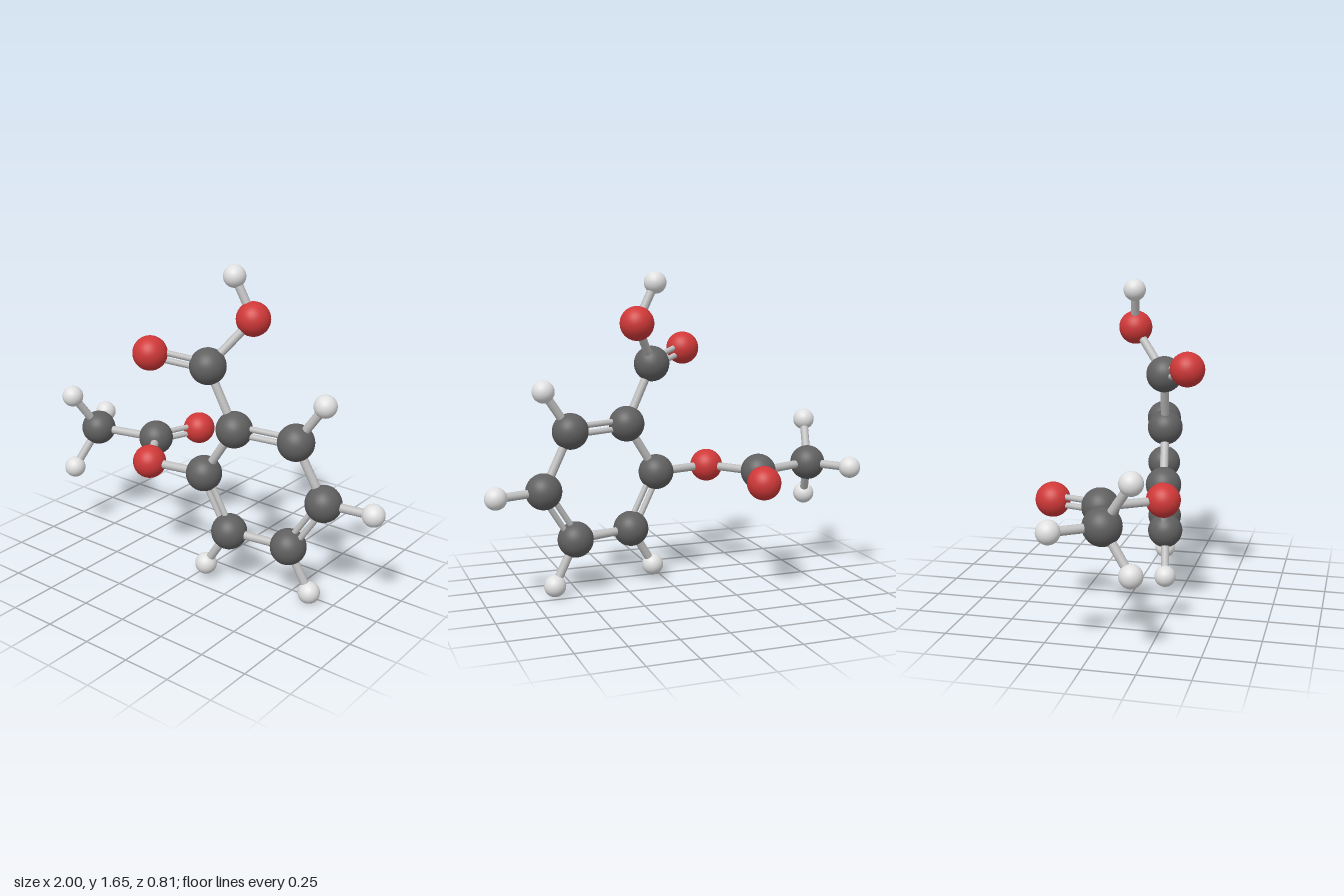
import * as THREE from 'three';

const mat = (name, color) => {
  const m = new THREE.MeshStandardMaterial({ color });
  m.name = name;
  return m;
};

export function createModel() {
  const group = new THREE.Group();
  const bondMat = mat('bond grey', 0xc0c0c0);

  // Radius and colour of each kind of atom
  const sphere = (r) => new THREE.SphereGeometry(r, 32, 20);
  const kinds = {
    carbon: { geo: sphere(0.093), mat: mat('carbon grey', 0x606060) },
    oxygen: { geo: sphere(0.087), mat: mat('oxygen red', 0xd03838) },
    hydrogen: { geo: sphere(0.057), mat: mat('hydrogen white', 0xe0e0e0) },
  };

  // Atom positions by kind
  const atoms = {
    carbon: {
      ring1: [0.217, 0.868, 0.13], ring2: [0.538, 0.857, 0.06], ring3: [0.688, 0.563, 0.03],
      ring4: [0.516, 0.29, 0.07], ring5: [0.195, 0.303, 0.138], ring6: [0.046, 0.596, 0.157],
      acid: [0.07, 1.175, 0.153], ester: [-0.457, 0.602, -0.05], methyl: [-0.798, 0.61, 0.048],
    },
    oxygen: {
      acidDouble: [-0.163, 1.238, 0.315], hydroxyl: [0.21, 1.398, -0.03],
      esterLink: [-0.268, 0.6, 0.22], esterDouble: [-0.366, 0.598, -0.317],
    },
    hydrogen: {
      hydroxylH: [0.107, 1.6, -0.012], ring2H: [0.68, 1.067, 0.032], ring3H: [0.94, 0.557, -0.018],
      ring4H: [0.634, 0.06, 0.05], ring5H: [0.064, 0.087, 0.165],
      methylTopH: [-0.845, 0.827, 0.193], methylLowH: [-0.853, 0.403, 0.193],
      methylBackH: [-0.943, 0.61, -0.162],
    },
  };

  const at = {};
  for (const [kind, list] of Object.entries(atoms)) {
    for (const [name, p] of Object.entries(list)) {
      at[name] = new THREE.Vector3(...p);
      const mesh = new THREE.Mesh(kinds[kind].geo, kinds[kind].mat);
      mesh.name = `${kind} ${name}`;
      mesh.position.copy(at[name]);
      group.add(mesh);
    }
  }

  // Rod between two points
  const up = new THREE.Vector3(0, 1, 0);
  const front = new THREE.Vector3(0, 0, 1);
  function rod(a, b, radius, name) {
    const dir = b.clone().sub(a);
    const mesh = new THREE.Mesh(new THREE.CylinderGeometry(radius, radius, dir.length(), 20), bondMat);
    mesh.name = name;
    mesh.position.copy(a).add(b).multiplyScalar(0.5);
    mesh.quaternion.setFromUnitVectors(up, dir.normalize());
    group.add(mesh);
  }

  // Single bonds
  const singles = [
    ['ring2', 'ring3'], ['ring4', 'ring5'], ['ring6', 'ring1'],
    ['ring1', 'acid'], ['acid', 'hydroxyl'], ['hydroxyl', 'hydroxylH'],
    ['ring6', 'esterLink'], ['esterLink', 'ester'], ['ester', 'methyl'],
    ['methyl', 'methylTopH'], ['methyl', 'methylLowH'], ['methyl', 'methylBackH'],
    ['ring2', 'ring2H'], ['ring3', 'ring3H'], ['ring4', 'ring4H'], ['ring5', 'ring5H'],
  ];
  for (const [a, b] of singles) rod(at[a], at[b], 0.022, 'singleBond');

  // Double bonds: two thinner rods side by side
  const doubles = [
    ['ring1', 'ring2'], ['ring3', 'ring4'], ['ring5', 'ring6'],
    ['acid', 'acidDouble'], ['ester', 'esterDouble'],
  ];
  for (const [a, b] of doubles) {
    const side = at[b].clone().sub(at[a]).cross(front).setLength(0.02);
    for (const s of [-1, 1]) {
      const shift = side.clone().multiplyScalar(s);
      rod(at[a].clone().add(shift), at[b].clone().add(shift), 0.015, 'doubleBond');
    }
  }

  return group;
}
